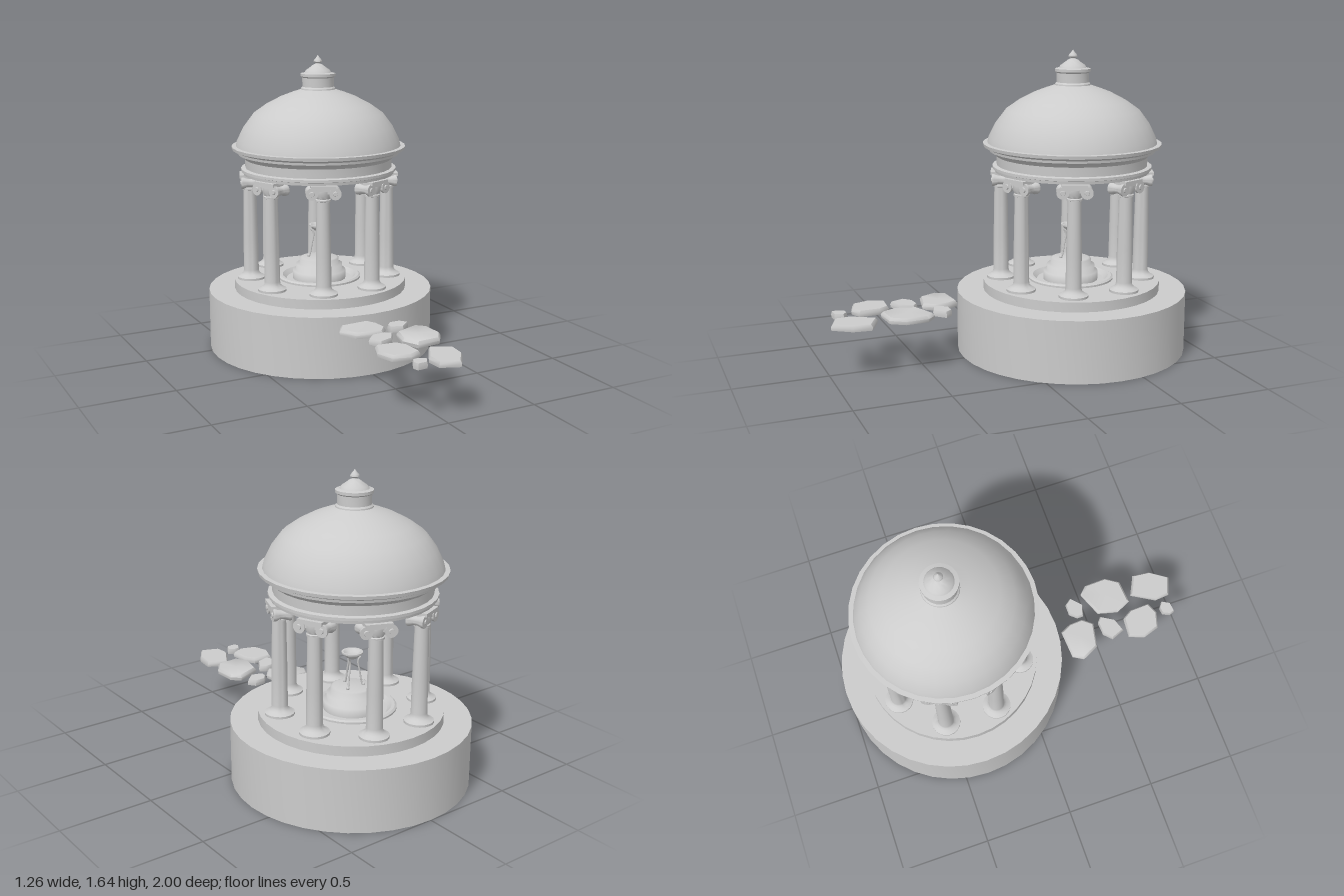
import * as THREE from 'three';
import { toCreasedNormals } from 'three/addons/utils/BufferGeometryUtils.js';

const stone = new THREE.MeshStandardMaterial({ color: 0xcccccc, side: THREE.DoubleSide });

function add(parent, name, geometry, x = 0, y = 0, z = 0) {
  const mesh = new THREE.Mesh(geometry, stone);
  mesh.name = name;
  mesh.position.set(x, y, z);
  parent.add(mesh);
  return mesh;
}

// Turned part from [radius, height] pairs, listed bottom to top on the outside
function turned(points, sides = 32, crease = 0.6) {
  const profile = points.map(([r, y]) => new THREE.Vector2(r, y));
  return toCreasedNormals(new THREE.LatheGeometry(profile, sides), crease);
}

// Paving slab: outline rings with a bevelled rim and a flat top, open underneath
function slab(outline, height) {
  const n = outline.length;
  const cx = outline.reduce((s, p) => s + p[0], 0) / n;
  const cz = outline.reduce((s, p) => s + p[1], 0) / n;
  const rings = [[0.97, 0], [1, height * 0.55], [0.9, height]];
  const pos = [], index = [];
  for (const [scale, y] of rings)
    for (const [x, z] of outline) pos.push(cx + (x - cx) * scale, y, cz + (z - cz) * scale);
  pos.push(cx, height, cz);
  for (let i = 0; i < n; i++) {
    const j = (i + 1) % n;
    for (let r = 0; r < 2; r++) {
      const a = r * n + i, b = r * n + j;
      index.push(a, a + n, b, b, a + n, b + n);
    }
    index.push(2 * n + i, 3 * n, 2 * n + j);
  }
  const g = new THREE.BufferGeometry();
  g.setAttribute('position', new THREE.Float32BufferAttribute(pos, 3));
  g.setIndex(index);
  return toCreasedNormals(g, 0.9);
}

// Column with its outer face toward +z
function createColumn() {
  const column = new THREE.Group();
  column.name = 'column';
  add(column, 'columnShaft', turned([
    [0.078, 0.388], [0.078, 0.4], [0.066, 0.405], [0.056, 0.413], [0.045, 0.422],
    [0.042, 0.44], [0.041, 0.62], [0.036, 0.9], [0.042, 0.902], [0.042, 0.912],
    [0.036, 0.916], [0.046, 0.935], [0.046, 0.96],
  ], 18, 0.9));
  add(column, 'capitalCushion', new THREE.BoxGeometry(0.13, 0.028, 0.08), 0, 0.96, 0);
  add(column, 'abacus', new THREE.BoxGeometry(0.135, 0.018, 0.11), 0, 0.982, 0);
  // Scrolls, narrow waisted between the two faces
  const scroll = turned([
    [0, -0.052], [0.012, -0.052], [0.014, -0.046], [0.033, -0.046], [0.033, -0.034], [0.024, -0.012],
    [0.024, 0.012], [0.033, 0.034], [0.033, 0.046], [0.014, 0.046], [0.012, 0.052], [0, 0.052],
  ], 14);
  scroll.rotateX(Math.PI / 2);
  for (const side of [-1, 1]) add(column, 'volute', scroll, side * 0.062, 0.947, 0);
  return column;
}

// Three-legged fire bowl
function createBrazier() {
  const brazier = new THREE.Group();
  brazier.name = 'brazier';
  const path = new THREE.CatmullRomCurve3([
    [0.06, 0.5], [0.052, 0.515], [0.04, 0.58], [0.03, 0.635], [0.036, 0.655], [0.044, 0.662],
  ].map(([r, y]) => new THREE.Vector3(0, y, r)));
  const leg = new THREE.TubeGeometry(path, 14, 0.005, 6);
  for (let i = 0; i < 3; i++) {
    const angle = i * Math.PI * 2 / 3;
    add(brazier, 'brazierLeg', leg).rotation.y = angle;
    add(brazier, 'brazierFoot', new THREE.SphereGeometry(0.009, 8, 6),
      Math.sin(angle) * 0.06, 0.508, Math.cos(angle) * 0.06);
  }
  add(brazier, 'brazierBowl', turned([
    [0, 0.655], [0.025, 0.657], [0.042, 0.672], [0.048, 0.682], [0.056, 0.684],
    [0.056, 0.692], [0.046, 0.692], [0.03, 0.678], [0, 0.674],
  ], 18));
  return brazier;
}

export function createModel() {
  const model = new THREE.Group();
  model.name = 'gardenTemple';
  const temple = new THREE.Group();
  temple.name = 'temple';
  temple.position.z = -0.37;
  model.add(temple);

  // Hollow drum and raised floor
  add(temple, 'base', turned([
    [0.63, 0], [0.63, 0.335], [0.485, 0.335], [0.485, 0.388], [0.2, 0.388],
  ], 36));

  const upper = new THREE.Group();
  upper.name = 'upperTemple';
  upper.position.x = -0.006;
  temple.add(upper);

  // Raised kerb around a shallow basin
  add(upper, 'kerb', turned([
    [0.235, 0.385], [0.235, 0.398], [0.225, 0.405], [0.208, 0.405], [0.198, 0.395], [0.185, 0.382], [0, 0.382],
  ]));
  add(upper, 'altar', turned([
    [0.15, 0.38], [0.15, 0.43], [0.132, 0.432], [0.132, 0.465], [0.112, 0.467],
    [0.112, 0.498], [0.1, 0.503], [0, 0.503],
  ], 28, 1.7));
  upper.add(createBrazier());

  for (let i = 0; i < 8; i++) {
    const angle = (i + 0.5) * Math.PI / 4;
    const column = createColumn();
    column.position.set(Math.sin(angle) * 0.385, 0, Math.cos(angle) * 0.385);
    column.rotation.y = angle;
    upper.add(column);
  }

  // Moulded ring carried by the columns
  add(upper, 'entablature', turned([
    [0.32, 1.08], [0.32, 0.99], [0.42, 0.99], [0.422, 1.005], [0.432, 1.008], [0.432, 1.022],
    [0.408, 1.026], [0.41, 1.075], [0.428, 1.095], [0.448, 1.102], [0.45, 1.115], [0.46, 1.122],
    [0.48, 1.128], [0.483, 1.145], [0.455, 1.147],
  ]));
  add(upper, 'dome', turned([
    [0.46, 1.14], [0.452, 1.175], [0.415, 1.25], [0.36, 1.323], [0.29, 1.372],
    [0.21, 1.414], [0.15, 1.437], [0.09, 1.457],
  ]));
  add(upper, 'ceiling', turned([
    [0.32, 1.07], [0.31, 1.14], [0.27, 1.22], [0.2, 1.29], [0.1, 1.34], [0, 1.355],
  ]));
  add(upper, 'lantern', turned([
    [0.098, 1.445], [0.095, 1.462], [0.087, 1.47], [0.087, 1.52], [0.096, 1.527], [0.096, 1.542],
    [0.074, 1.547], [0.066, 1.56], [0.04, 1.578], [0.028, 1.588], [0.014, 1.594],
  ], 24));
  add(upper, 'finial', turned([
    [0.014, 1.588], [0.012, 1.598], [0.024, 1.606], [0.022, 1.614], [0.01, 1.628], [0, 1.642],
  ], 12));

  // Stepping stones: underside height, then outline as [x, z]
  const stones = [
    [0.28, [[-0.21, 0.29], [-0.05, 0.28], [-0.02, 0.34], [-0.015, 0.42], [-0.06, 0.475], [-0.2, 0.445], [-0.245, 0.35]]],
    [0.28, [[0.005, 0.4], [0.04, 0.36], [0.1, 0.36], [0.13, 0.4], [0.07, 0.455], [0.005, 0.435]]],
    [0.283, [[-0.185, 0.55], [-0.14, 0.505], [-0.065, 0.5], [-0.035, 0.525], [-0.08, 0.6], [-0.155, 0.625]]],
    [0.284, [[-0.01, 0.52], [0.13, 0.465], [0.175, 0.51], [0.18, 0.635], [0.13, 0.71], [0, 0.72], [-0.04, 0.635]]],
    [0.28, [[-0.2, 0.64], [-0.09, 0.65], [-0.055, 0.705], [-0.05, 0.82], [-0.115, 0.848], [-0.205, 0.82], [-0.235, 0.725]]],
    [0.266, [[0.04, 0.745], [0.148, 0.8], [0.138, 0.9], [0.07, 1], [-0.03, 0.96], [-0.037, 0.875]]],
    [0.27, [[-0.13, 0.88], [-0.095, 0.875], [-0.06, 0.9], [-0.085, 0.945], [-0.14, 0.95], [-0.15, 0.92]]],
  ];
  for (const [y, outline] of stones) add(model, 'steppingStone', slab(outline, 0.033), 0, y, 0);

  return model;
}
